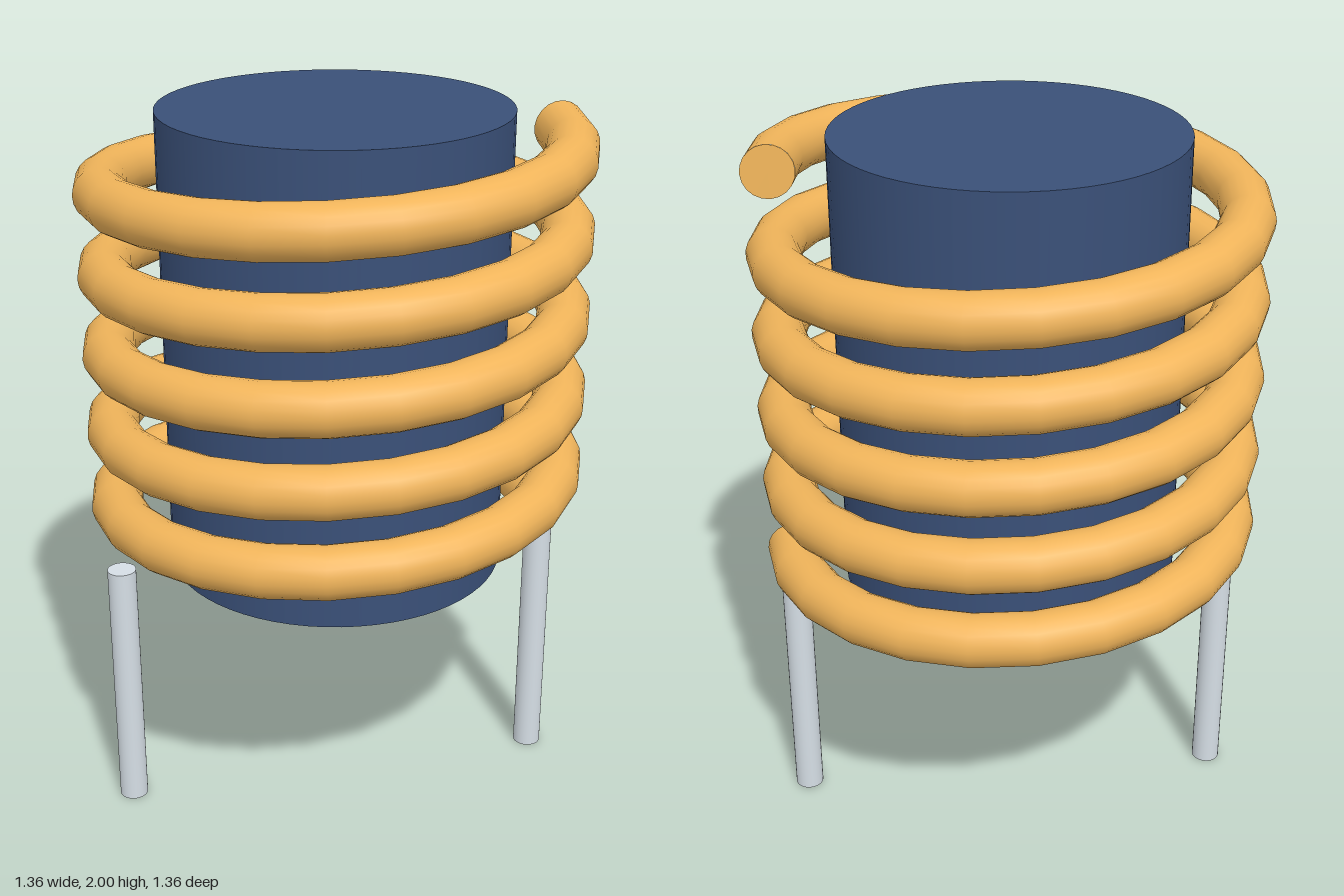
import * as THREE from 'three';

const COIL_R = 0.61, WIRE_R = 0.07, TURNS = 5, Y0 = 0.825, Y1 = 1.915;

// Winding centreline: starts on +x, runs round the back and climbs
class Helix extends THREE.Curve {
  getPoint(t, target = new THREE.Vector3()) {
    const a = t * TURNS * Math.PI * 2;
    return target.set(COIL_R * Math.cos(a), Y0 + (Y1 - Y0) * t, -COIL_R * Math.sin(a));
  }
}

export function createModel() {
  const model = new THREE.Group();
  model.name = 'inductor';
  const blue = new THREE.MeshStandardMaterial({ color: 0x3a5078 });
  const copper = new THREE.MeshStandardMaterial({ color: 0xf0b45a });
  const silver = new THREE.MeshStandardMaterial({ color: 0xd5dee5 });

  const add = (parent, name, geometry, material) => {
    const mesh = new THREE.Mesh(geometry, material);
    mesh.name = name;
    parent.add(mesh);
    return mesh;
  };

  // Solid core
  add(model, 'core', new THREE.CylinderGeometry(0.463, 0.463, 1.26, 64), blue).position.y = 1.37;

  // Wire winding, 24 straight steps per turn, with closed ends
  const winding = new THREE.Group();
  winding.name = 'winding';
  model.add(winding);
  const helix = new Helix();
  add(winding, 'wire', new THREE.TubeGeometry(helix, TURNS * 24, WIRE_R, 20), copper);
  for (const [name, t, dir] of [['wireStart', 0, -1], ['wireEnd', 1, 1]]) {
    const cap = add(winding, name, new THREE.CircleGeometry(WIRE_R, 20), copper);
    cap.position.copy(helix.getPoint(t));
    const outward = helix.getTangent(t).multiplyScalar(dir);
    cap.quaternion.setFromUnitVectors(new THREE.Vector3(0, 0, 1), outward);
  }

  // Two mounting pins
  for (const [name, side] of [['leftPin', 1], ['rightPin', -1]]) {
    const pin = add(model, name, new THREE.CylinderGeometry(0.04, 0.04, 0.74, 24), silver);
    pin.position.set(side * 0.61, 0.37, 0);
  }

  return model;
}
